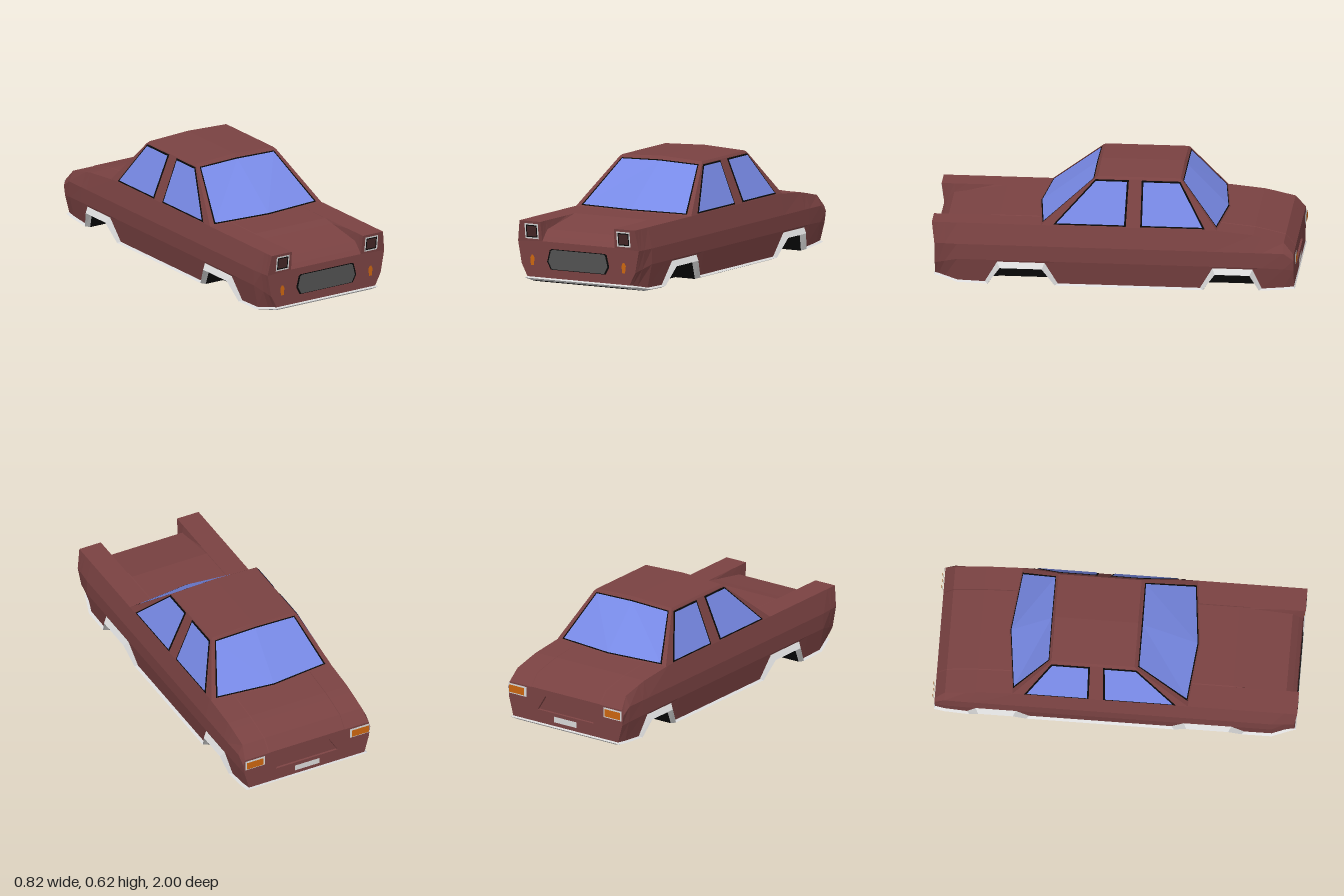
import * as THREE from 'three';

const mat = (name, color) => {
  const m = new THREE.MeshStandardMaterial({ color, flatShading: true, side: THREE.DoubleSide });
  m.name = name;
  return m;
};

export function createModel() {
  const car = new THREE.Group();
  car.name = 'saloonCarShell';
  const paint = mat('maroonPaint', 0x7a4242);
  const glass = mat('blueGlass', 0x7a8cea);
  const black = mat('black', 0x080808);
  const trim = mat('lightTrim', 0xdadada);
  const grey = mat('grilleGrey', 0x525252);
  const orange = mat('orangeLamp', 0xcc6610);
  const lens = mat('darkLens', 0x462828);

  const add = (name, geometry, material) => {
    const m = new THREE.Mesh(geometry, material);
    m.name = name;
    car.add(m);
    return m;
  };
  // Mesh from a list of four-cornered faces
  const quads = (name, list, material) => {
    const pos = [];
    for (const [a, b, c, d] of list) pos.push(...a, ...b, ...c, ...a, ...c, ...d);
    const g = new THREE.BufferGeometry();
    g.setAttribute('position', new THREE.Float32BufferAttribute(pos, 3));
    g.computeVertexNormals();
    return add(name, g, material);
  };
  // Surface through rows of points
  const loft = (name, rows, material) => {
    const list = [];
    for (let i = 0; i + 1 < rows.length; i++)
      for (let j = 0; j + 1 < rows[i].length; j++)
        list.push([rows[i][j], rows[i][j + 1], rows[i + 1][j + 1], rows[i + 1][j]]);
    return quads(name, list, material);
  };
  const flip = ([x, y, z]) => [-x, y, z];
  // Half row ending on the centre line -> full row
  const full = (half) => [...half, ...half.slice(0, -1).reverse().map(flip)];
  // Flat plate in the xy plane
  const plate = (name, pts, z, material, hole) => {
    const v = (list) => list.map(([x, y]) => new THREE.Vector2(x, y));
    const s = new THREE.Shape(v(pts));
    if (hole) s.holes.push(new THREE.Path(v(hole)));
    return add(name, new THREE.ShapeGeometry(s).translate(0, 0, z), material);
  };
  const rect = (x0, x1, y0, y1) => [[x0, y0], [x1, y0], [x1, y1], [x0, y1]];

  // Body stations: z, lower edge, shoulder height, centre height, arch shift
  const stations = [
    [0.985, 0.05, 0.358, 0.25, 0], [0.965, 0.047, 0.358, 0.275, 0], [0.93, 0.04, 0.358, 0.31, 0],
    [0.86, 0.025, 0.358, 0.322, 0], [0.71, 0.02, 0.358, 0.347, -0.015],
    [0.64, 0.145, 0.358, 0.36, -0.015], [0.38, 0.145, 0.358, 0.36, 0.015],
    [0.31, 0.02, 0.358, 0.36, 0.015], [-0.47, 0.02, 0.358, 0.36, -0.015],
    [-0.54, 0.145, 0.358, 0.36, -0.015], [-0.76, 0.145, 0.337, 0.339, 0.015],
    [-0.81, 0.028, 0.327, 0.329, 0.015], [-0.93, 0.038, 0.3, 0.302, 0],
    [-0.985, 0.042, 0.235, 0.237, 0],
  ];
  const body = [], edge = [], floor = [];
  for (const [z, yb, top, mid, dz] of stations) {
    const f = Math.max(0, (z - 0.86) / 0.125, ((-z - 0.9) / 0.085) * 0.3);
    const arch = yb > 0.1 ? 1 : 0;
    const end = z === 0.985 ? 1 : z === -0.985 ? -1 : 0;
    const bx = 0.365 + 0.023 * (yb - 0.02) / 0.125 - 0.045 * f;
    const zs = z + (end > 0 ? 0.015 : 0);
    const sx = end < 0 ? 0.38 : 0.367;
    body.push([[bx, yb, z], [0.392 - 0.03 * f, 0.155 - 0.035 * f, z],
      [0.394 - 0.009 * f, Math.min(0.243, top - 0.03), z],
      [sx, top, zs], [0.235, top, zs], [0.23, mid, z], [0, mid, z]]);
    // Lower trim: body edge, lip, inner edge
    const inner = [bx - 0.02, yb - 0.02 - 0.015 * arch, z + dz - end * 0.01];
    edge.push([[bx, yb, z],
      [bx + 0.015 + 0.007 * arch, yb - 0.008 - 0.022 * arch, z + dz + end * 0.006], inner]);
    // Floor with raised wheel wells
    const fy = arch ? 0 : inner[1];
    floor.push(full([inner, [0.23, inner[1], inner[2]], [0.22, fy, inner[2]], [0, fy, inner[2]]]));
  }
  loft('bodyShell', body.map(full), paint);
  const mirrored = edge.map((r) => r.map(flip)).reverse();
  loft('lowerTrim', [...edge, ...mirrored, edge[0]], trim);
  loft('floor', floor, black);

  // Nose panel and headlight fronts
  const nose = body[0];
  plate('nosePanel', full([nose[0], nose[1], nose[2], nose[5], nose[6]]), 0.985, paint);
  const headFace = [nose[2], nose[3], nose[4], nose[5]];
  quads('headlightFronts', [headFace, headFace.map(flip)], paint);

  // Tail panel with recessed trapezoid
  const tail = body[body.length - 1];
  const outer = [[-0.19, 0.115], [0.19, 0.115], [0.14, 0.2], [-0.14, 0.2]];
  const inset = outer.map(([x, y]) => [x * 0.98, 0.158 + (y - 0.158) * 0.95]);
  plate('tailPanel', full(tail), -0.985, paint, outer);
  plate('tailRecess', inset, -0.975, paint);
  const ring = (pts, z) => [...pts, pts[0]].map(([x, y]) => [x, y, z]);
  loft('tailRecessRim', [ring(outer, -0.985), ring(inset, -0.975)], paint);
  plate('rearPlate', rect(-0.075, 0.075, 0.065, 0.098), -0.989, trim);

  // Grille
  const grille = [[-0.175, 0.098], [0.175, 0.098], [0.198, 0.14], [0.182, 0.205],
    [0.17, 0.212], [-0.17, 0.212], [-0.182, 0.205], [-0.198, 0.14]];
  plate('grilleSurround', grille, 0.988, black);
  plate('grille', grille.map(([x, y]) => [x * 0.95, 0.155 + (y - 0.155) * 0.94]), 0.991, grey);

  // Lamps on both sides
  for (const s of [1, -1]) {
    const side = s > 0 ? 'left' : 'right';
    const m = (pts) => pts.map(([x, y]) => [x * s, y]);
    // Headlight plates lean with the face behind them
    const lean = (mesh) => {
      const p = mesh.geometry.attributes.position;
      for (let i = 0; i < p.count; i++) p.setZ(i, p.getZ(i) - (0.358 - p.getY(i)) * 0.133);
      mesh.geometry.computeVertexNormals();
    };
    lean(plate(side + 'HeadlightFrame', m(rect(0.25, 0.335, 0.26, 0.345)), 1.003, trim,
      m(rect(0.258, 0.327, 0.268, 0.337))));
    lean(plate(side + 'HeadlightGasket', m(rect(0.258, 0.327, 0.268, 0.337)), 1.003, black,
      m(rect(0.264, 0.321, 0.274, 0.331))));
    lean(plate(side + 'HeadlightLens', m(rect(0.264, 0.321, 0.274, 0.331)), 1.003, lens));
    plate(side + 'Indicator', m([[0.282, 0.115], [0.3, 0.115], [0.305, 0.155],
      [0.296, 0.172], [0.286, 0.172], [0.277, 0.155]]), 0.99, orange);
    plate(side + 'TailLampFrame', m(rect(0.262, 0.382, 0.172, 0.23)), -0.992, trim);
    plate(side + 'TailLamp', m(rect(0.272, 0.376, 0.18, 0.223)), -0.998, orange);
  }

  // Cabin outline
  const roofX = 0.263, baseX = 0.367, baseY = 0.358, roofY = 0.602;
  const wallX = (y) => baseX + (roofX - baseX) * (y - baseY) / (roofY - baseY);
  const wall = [[baseX, baseY, 0.4], [baseX, baseY, -0.56], [roofX, roofY, -0.365], [roofX, roofY, 0.115]];
  quads('cabinSides', [wall, wall.map(flip)], paint);
  const rim = (x, y, yc, zf, zr) => {
    const h = [[0, yc, zf], [x, y, zf], [x, y, zr], [0, yc, zr]];
    return [...h, ...h.slice(0, 3).reverse().map(flip)];
  };
  const roof = rim(0.253, 0.613, 0.624, 0.1, -0.355);
  loft('roofEdge', [rim(roofX, roofY, 0.61, 0.115, -0.365), roof], paint);
  loft('roof', [[roof[1], roof[0], roof[5]], [roof[2], roof[3], roof[4]]], paint);

  // Windscreens: paint border, black seal and glass in one bowed grid
  const us = [-1, -0.925, -0.9, 0, 0.9, 0.925, 1];
  const vs = [0, 0.025, 0.045, 0.965, 0.985, 1];
  const screen = (name, zCorner, zMid, zTop) => {
    const at = (u, v) => {
      const k = 1 - Math.abs(u);
      const zb = zCorner + (zMid - zCorner) * k;
      const yb = baseY + 0.002 * k, yt = roofY + 0.008 * k;
      return [u * (baseX + (roofX - baseX) * v), yb + (yt - yb) * v, zb + (zTop - zb) * v];
    };
    const parts = [[], [], []];
    for (let i = 0; i < 6; i++)
      for (let j = 0; j < 5; j++)
        parts[Math.min(i, 5 - i, j, 4 - j)].push([at(us[i], vs[j]), at(us[i + 1], vs[j]),
          at(us[i + 1], vs[j + 1]), at(us[i], vs[j + 1])]);
    ['Border', 'Seal', 'Glass'].forEach((n, i) => quads(name + n, parts[i], [paint, black, glass][i]));
  };
  screen('windscreen', 0.4, 0.44, 0.115);
  screen('rearWindow', -0.56, -0.605, -0.365);

  // Side windows as [z, y] outlines
  const windows = {
    frontDoor: [[0.325, 0.368], [-0.058, 0.368], [-0.066, 0.594], [0.11, 0.594]],
    rearDoor: [[-0.148, 0.368], [-0.488, 0.368], [-0.352, 0.594], [-0.148, 0.594]],
  };
  for (const [name, pts] of Object.entries(windows)) {
    const cz = pts.reduce((t, p) => t + p[0], 0) / 4, cy = 0.481;
    const place = (k, o) => {
      const q = pts.map(([z, y]) => {
        const yy = cy + (y - cy) * k;
        return [wallX(yy) + o, yy, cz + (z - cz) * k];
      });
      return [q, q.map(flip)];
    };
    quads(name + 'Seals', place(1.04, 0.003), black);
    quads(name + 'Glass', place(0.97, 0.006), glass);
  }
  return car;
}
